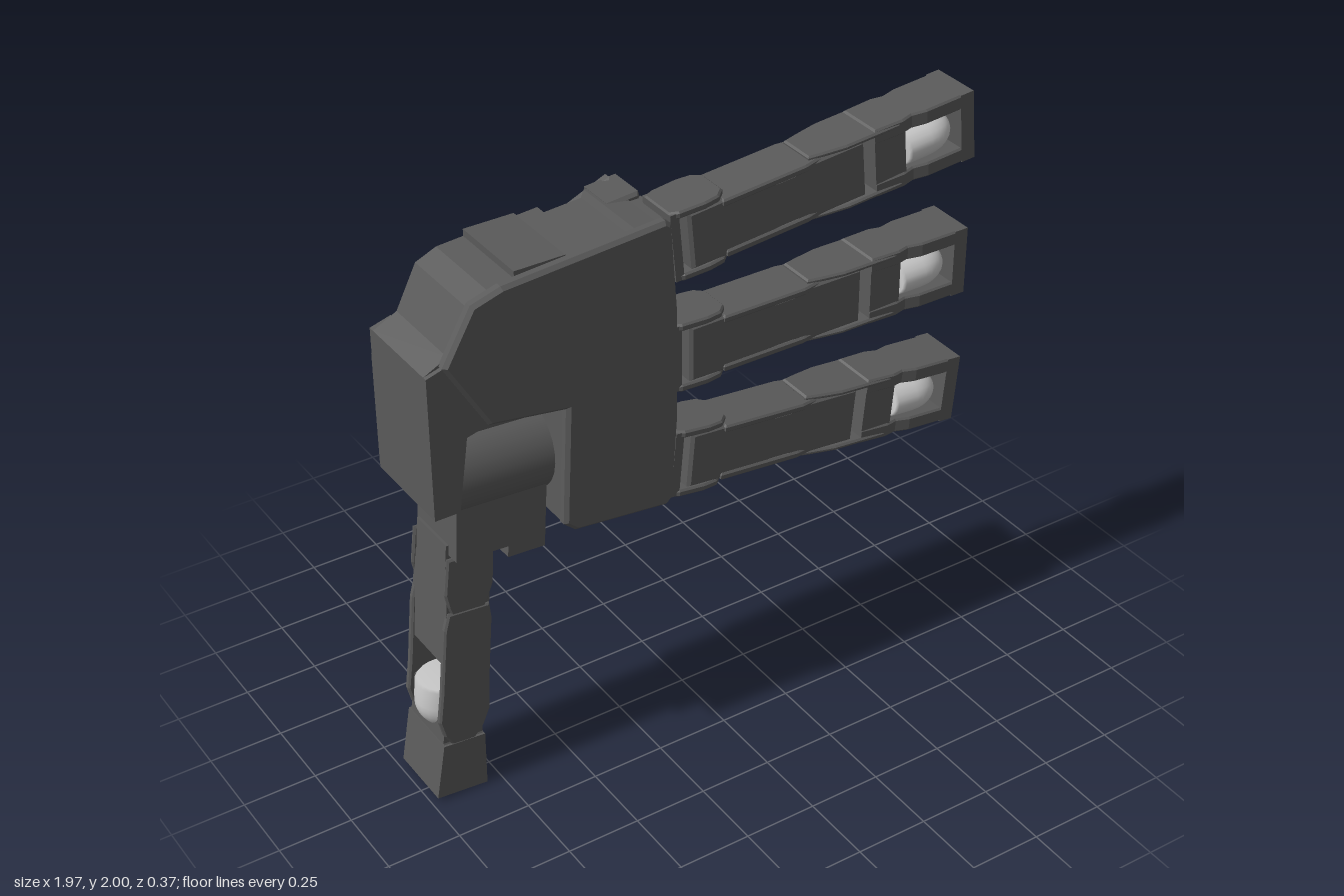
import * as THREE from 'three';

const dark = new THREE.MeshStandardMaterial({ color: 0x5a5a5a, flatShading: true });
const light = new THREE.MeshStandardMaterial({ color: 0xcccccc });

function add(parent, name, geometry, x = 0, y = 0, z = 0, material = dark) {
  const m = new THREE.Mesh(geometry, material);
  m.name = name;
  m.position.set(x, y, z);
  parent.add(m);
  return m;
}

// box given by its limits
function box(parent, name, x0, x1, y0, y1, z0, z1) {
  return add(parent, name, new THREE.BoxGeometry(x1 - x0, y1 - y0, z1 - z0),
    (x0 + x1) / 2, (y0 + y1) / 2, (z0 + z1) / 2);
}

// outline in x, y extruded from z0 to z1, with an optional chamfer kept inside the limits
function slab(parent, name, points, z0, z1, bevel = 0) {
  const shape = new THREE.Shape(points.map(p => new THREE.Vector2(...p)));
  const g = new THREE.ExtrudeGeometry(shape, {
    depth: z1 - z0 - 2 * bevel, bevelEnabled: bevel > 0, bevelSize: bevel,
    bevelThickness: bevel, bevelOffset: -bevel, bevelSegments: 1,
  });
  g.translate(0, 0, z0 + bevel);
  return add(parent, name, g);
}

const mirrored = half => [...half.map(([x, h]) => [x, -h]), ...[...half].reverse()];

// side plate: outline of [x, half depth] laid in x, z; spans inner..outer in y
function sidePlates(parent, name, half, inner, outer) {
  for (const s of [1, -1]) {
    const m = slab(parent, name, mirrored(half), inner, outer, 0.006);
    m.rotation.x = -s * Math.PI / 2;
  }
}

// bullet-shaped grip pad: flat end at x0, round end at x1
function gripPad(parent, x0, x1, ry, rz) {
  const L = x1 - x0, profile = [[0, 0], [0.94, 0], [1, 0.05], [1, 0.42]];
  for (let i = 1; i <= 8; i++) {
    const a = i / 8 * Math.PI / 2;
    profile.push([Math.cos(a), 0.42 + 0.58 * Math.sin(a)]);
  }
  const g = new THREE.LatheGeometry(
    profile.map(([r, t]) => new THREE.Vector2(Math.max(r, 0), t * L)), 24);
  g.rotateZ(-Math.PI / 2);
  g.scale(1, ry, rz);
  add(parent, 'gripPad', g, x0, 0, 0, light);
}

// finger along +x, starting at its own origin
function finger() {
  const f = new THREE.Group();
  f.name = 'finger';
  box(f, 'baseBar', 0, 0.03, -0.115, 0.115, -0.075, 0.075);
  sidePlates(f, 'basePlate',
    [[0, 0.065], [0.03, 0.08], [0.12, 0.085], [0.17, 0.078], [0.2, 0.05]], 0.095, 0.12);
  // waisted middle link
  const link = [[0.06, 0.098], [0.2, 0.1], [0.38, 0.083], [0.44, 0.083], [0.5, 0.098], [0.7, 0.098]];
  slab(f, 'middleLink', mirrored(link), -0.078, 0.078, 0.01);
  sidePlates(f, 'middlePlate',
    [[0.18, 0.085], [0.48, 0.085], [0.54, 0.072], [0.58, 0.06]], 0.075, 0.1);
  sidePlates(f, 'endPlate',
    [[0.5, 0.065], [0.55, 0.075], [0.63, 0.088], [0.82, 0.088], [0.87, 0.075]], 0.095, 0.112);
  // tip frame around the open window
  box(f, 'tipBlock', 0.735, 0.85, -0.1, 0.1, -0.08, 0.08);
  sidePlates(f, 'tipFrame',
    [[0.735, 0.082], [0.84, 0.086], [0.88, 0.076], [0.93, 0.087], [1.11, 0.087]], 0.068, 0.118);
  box(f, 'tipCap', 1.06, 1.11, -0.118, 0.118, -0.087, 0.087);
  gripPad(f, 0.85, 1.06, 0.072, 0.105);
  return f;
}

function thumb() {
  const t = new THREE.Group();
  t.name = 'thumb';
  box(t, 'baseBar', -0.02, 0.1, -0.09, 0.09, -0.075, 0.07);
  box(t, 'middleLink', 0.1, 0.42, -0.105, 0.105, -0.075, 0.075);
  sidePlates(t, 'basePlate',
    [[0.02, 0.08], [0.15, 0.084], [0.2, 0.07], [0.25, 0.05]], 0.095, 0.112);
  sidePlates(t, 'sidePlate',
    [[0.22, 0.072], [0.28, 0.083], [0.52, 0.085], [0.63, 0.09], [0.69, 0.07], [0.73, 0.04]], 0.09, 0.115);
  slab(t, 'tipBlock', mirrored([[0.57, 0.1], [0.72, 0.105], [0.74, 0.116], [0.925, 0.116]]), -0.07, 0.07);
  // fingertip flares toward its end
  const g = new THREE.BoxGeometry(0.2, 0.232, 0.18), p = g.attributes.position;
  for (let i = 0; i < p.count; i++) if (p.getX(i) < 0) p.setZ(i, p.getZ(i) * 0.82);
  add(t, 'tipCap', g, 0.825, 0, 0);
  gripPad(t, 0.54, 0.72, 0.092, 0.11);
  return t;
}

export function createModel() {
  const hand = new THREE.Group();
  hand.name = 'roboticHand';

  // palm core with the arm that holds the thumb
  slab(hand, 'palmCore', [
    [-0.97, 1.15], [-0.885, 1.15], [-0.85, 1.4], [-0.52, 1.38], [-0.53, 0.96], [-0.17, 0.92],
    [-0.17, 1.88], [-0.25, 1.885], [-0.26, 1.86], [-0.4, 1.85], [-0.41, 1.875], [-0.75, 1.85],
    [-0.82, 1.82], [-0.89, 1.68], [-0.97, 1.64]], -0.15, 0.15);
  slab(hand, 'thumbArm', [
    [-0.97, 1.15], [-0.885, 1.15], [-0.85, 1.4], [-0.77, 1.42], [-0.9, 1.66], [-0.97, 1.64]],
    -0.17, 0.165);
  slab(hand, 'frontPlate', [
    [-0.92, 1.66], [-0.78, 1.42], [-0.52, 1.38], [-0.54, 0.97], [-0.5, 0.935], [-0.17, 0.9],
    [-0.15, 0.92], [-0.13, 1.2], [-0.13, 1.6], [-0.15, 1.89], [-0.17, 1.905], [-0.72, 1.865],
    [-0.82, 1.835]], 0.135, 0.18, 0.012);
  slab(hand, 'backPlate', [
    [-0.97, 1.55], [-0.97, 1.16], [-0.885, 1.16], [-0.85, 1.4], [-0.52, 1.38], [-0.54, 0.97],
    [-0.5, 0.935], [-0.17, 0.9], [-0.14, 1.2], [-0.14, 1.6], [-0.16, 1.9]], -0.185, -0.14, 0.012);
  box(hand, 'topPad', -0.66, -0.49, 1.8, 1.88, -0.15, 0.14);

  // three fanned fingers with their knuckles
  for (const [y, angle] of [[1.785, 0.092], [1.4, 0], [1.015, -0.09]]) {
    const f = finger();
    f.position.set(-0.13, y, 0.075);
    f.rotation.z = angle;
    hand.add(f);
    const k = slab(hand, 'knuckle', [[-0.1, -0.11], [0.01, -0.11], [0.018, -0.07], [0.018, 0.07], [0.01, 0.11], [-0.1, 0.11]],
      -0.175, -0.03, 0.01);
    k.position.set(-0.13, y, 0);
    k.rotation.z = angle;
    box(hand, 'fingerMount', -0.25, -0.12, y - 0.09, y + 0.09, -0.04, 0.13);
  }

  // thumb swivel: barrel and stepped mount, tilted together
  const swivel = new THREE.Group();
  swivel.name = 'thumbSwivel';
  swivel.position.set(-0.7, 1.18, -0.01);
  swivel.rotation.z = -0.06;
  const barrel = new THREE.CylinderGeometry(0.14, 0.14, 0.32, 24);
  barrel.rotateZ(Math.PI / 2);
  const smooth = new THREE.MeshStandardMaterial({ color: 0x5a5a5a });
  add(swivel, 'barrel', barrel, 0, 0, 0, smooth);
  slab(swivel, 'mount', [
    [-0.16, 0.02], [-0.16, -0.27], [0.02, -0.27], [0.02, -0.31], [0.15, -0.31], [0.15, 0.02]],
    -0.13, 0.11);
  hand.add(swivel);

  // thumb points down, its grip faces sideways
  const t = thumb();
  const along = new THREE.Vector3(-0.087, -0.996, 0).normalize();
  const face = new THREE.Vector3(-along.y, along.x, 0);
  t.quaternion.setFromRotationMatrix(
    new THREE.Matrix4().makeBasis(along, face.clone().cross(along), face));
  t.position.set(-0.81, 0.93, -0.037);
  hand.add(t);
  return hand;
}
